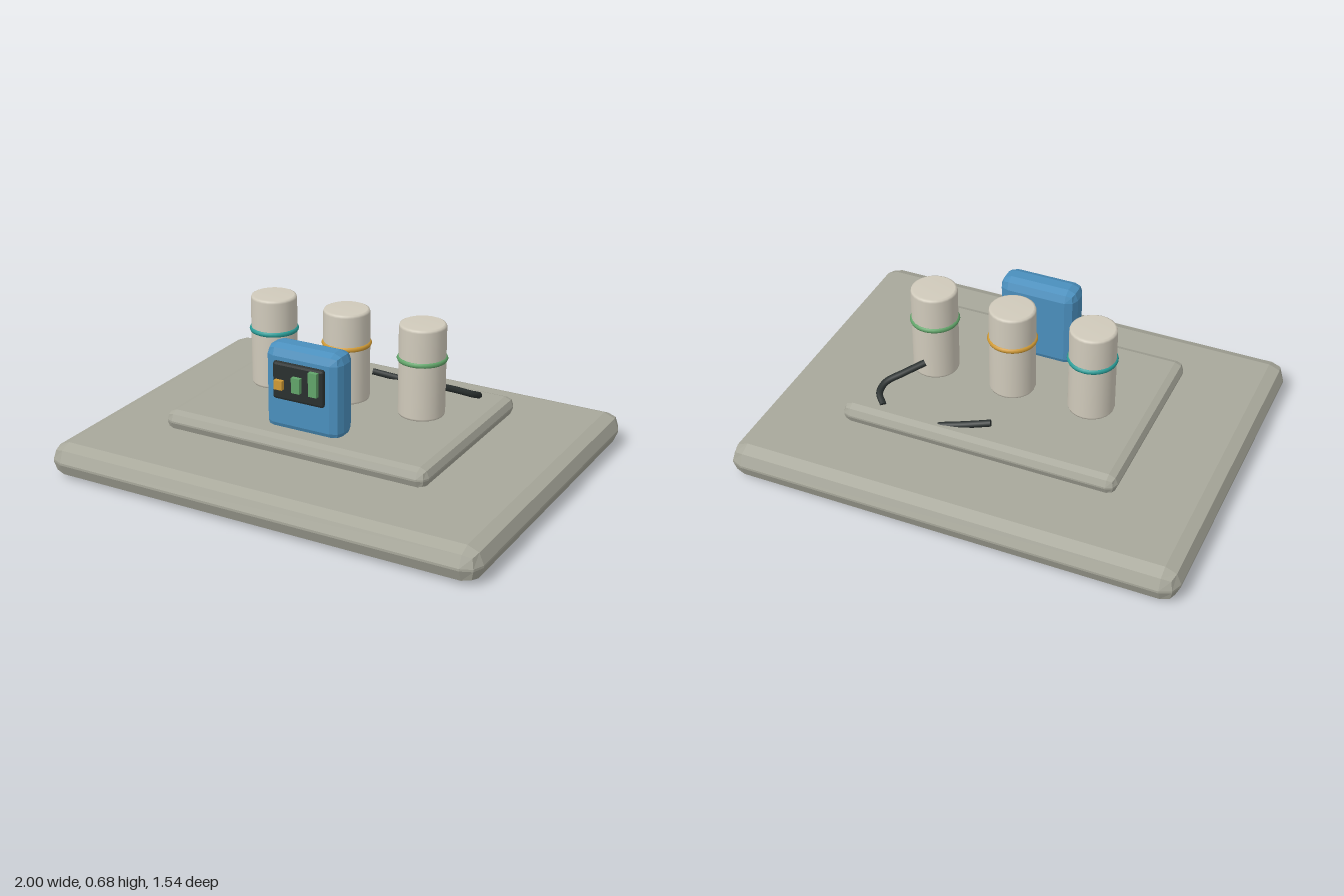
import * as THREE from 'three';

const mat = (name, color) => {
  const m = new THREE.MeshStandardMaterial({ color });
  m.name = name;
  return m;
};

// Box with edges rounded in two flat facets
function softBox(w, h, d, r) {
  const g = new THREE.BoxGeometry(1, 1, 1, 3, 3, 3);
  const p = g.attributes.position;
  const inner = [w / 2 - r, h / 2 - r, d / 2 - r];
  const v = new THREE.Vector3();
  for (let i = 0; i < p.count; i++) {
    const c = [p.getX(i), p.getY(i), p.getZ(i)];
    v.fromArray(c.map((t) => (Math.abs(t) > 0.4 ? Math.sign(t) : 0))).normalize().multiplyScalar(r);
    p.setXYZ(i, ...c.map((t, k) => Math.sign(t) * inner[k] + v.getComponent(k)));
  }
  const flat = g.toNonIndexed();
  flat.computeVertexNormals();
  return flat;
}

export function createModel() {
  const model = new THREE.Group();
  model.name = 'device';
  const stone = mat('warm grey', 0xa8a89b);
  const cream = mat('cream', 0xd0cabb);
  const blue = mat('blue', 0x4a8fbd);
  const dark = mat('charcoal', 0x2a302f);
  const green = mat('green', 0x62a56a);
  const teal = mat('teal', 0x2a9d98);
  const amber = mat('amber', 0xd09a35);

  const add = (name, geo, material, x = 0, y = 0, z = 0) => {
    const m = new THREE.Mesh(geo, material);
    m.name = name;
    m.position.set(x, y, z);
    model.add(m);
    return m;
  };

  // Stacked slabs
  add('base', softBox(2, 0.15, 1.545, 0.07), stone, 0, 0.075, 0);
  add('deck', softBox(1.24, 0.088, 0.89, 0.04), stone, 0, 0.219, 0);

  // Three canisters with coloured bands
  const profile = [[0, -0.203], [0.088, -0.203], [0.097, -0.199], [0.1, -0.19],
    [0.1, 0.19], [0.097, 0.199], [0.088, 0.203], [0, 0.203]].map(([x, y]) => new THREE.Vector2(x, y));
  const canister = new THREE.LatheGeometry(profile, 24);
  const band = new THREE.TorusGeometry(0.095, 0.0125, 8, 32).rotateX(Math.PI / 2);
  [[-0.36, teal], [0, amber], [0.36, green]].forEach(([x, colour]) => {
    add('canister', canister, cream, x, 0.48, -0.04);
    add('canisterBand', band, colour, x, 0.53, -0.04);
  });

  // Control unit with screen and level bars
  add('controlUnit', softBox(0.355, 0.387, 0.138, 0.045), blue, 0, 0.4285, 0.276);
  add('screen', softBox(0.24, 0.166, 0.026, 0.012), dark, 0, 0.482, 0.359);
  [[-0.083, 0.04, amber], [0, 0.066, green], [0.08, 0.104, green]].forEach(([x, h, colour]) =>
    add('levelBar', new THREE.BoxGeometry(0.039, h, 0.022), colour, x, 0.45 + h / 2, 0.38));

  // Cables, closed with end discs
  const cable = (name, pts) => {
    const curve = new THREE.CatmullRomCurve3(pts.map((a) => new THREE.Vector3(...a)));
    add(name, new THREE.TubeGeometry(curve, 20, 0.015, 8), dark);
    [0, 1].forEach((t) => {
      const p = curve.getPoint(t);
      const out = curve.getTangent(t).multiplyScalar(t ? 1 : -1);
      const cap = add(name + 'End', new THREE.CircleGeometry(0.015, 8), dark, p.x, p.y, p.z);
      cap.lookAt(p.clone().add(out));
    });
  };
  cable('curvedCable', [[0.36, 0.365, -0.15], [0.43, 0.335, -0.215], [0.49, 0.305, -0.27],
    [0.495, 0.283, -0.32], [0.455, 0.262, -0.365]]);
  cable('shortCable', [[-0.025, 0.288, -0.325], [0.08, 0.268, -0.355], [0.19, 0.25, -0.385]]);

  return model;
}
